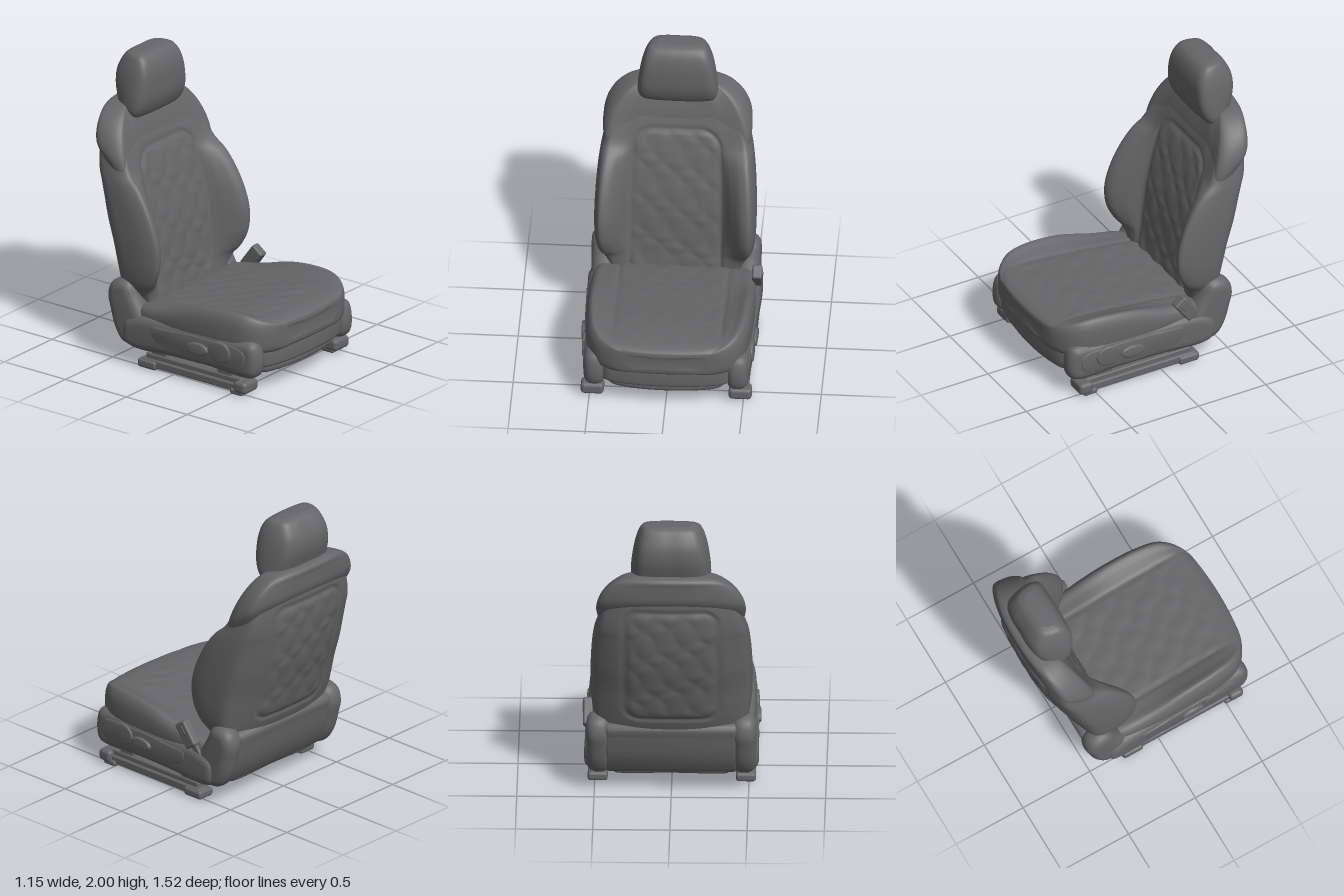
import * as THREE from 'three';
import { mergeVertices, toCreasedNormals } from 'three/addons/utils/BufferGeometryUtils.js';
import { RoundedBoxGeometry } from 'three/addons/geometries/RoundedBoxGeometry.js';

const V = (x, y, z) => new THREE.Vector3(x, y, z);

// Skin a stack of mirrored rings; each row lists the x >= 0 half of one ring.
function loft(rows, around, along, reshape) {
  const rings = rows.map((half) => {
    const other = half.slice(1, -1).reverse().map((p) => V(-p.x, p.y, p.z));
    const curve = new THREE.CatmullRomCurve3([...half, ...other], true, 'centripetal');
    return Array.from({ length: around }, (_, j) => curve.getPoint(j / around));
  });
  const pos = [], index = [];
  const columns = rings[0].map((_, j) => new THREE.CatmullRomCurve3(rings.map((r) => r[j]), false, 'centripetal'));
  for (let i = 0; i <= along; i++) {
    for (const c of columns) {
      const p = c.getPoint(i / along);
      if (reshape) reshape(p);
      pos.push(p.x, p.y, p.z);
    }
  }
  for (let i = 0; i < along; i++) {
    for (let j = 0; j < around; j++) {
      const a = i * around + j, b = i * around + (j + 1) % around;
      index.push(a, b, a + around, b, b + around, a + around);
    }
  }
  // End caps
  [0, along].forEach((row, k) => {
    const c = V(0, 0, 0);
    for (let j = 0; j < around; j++) c.add(V(...pos.slice(3 * (row * around + j), 3 * (row * around + j) + 3)));
    c.divideScalar(around);
    const id = pos.length / 3;
    pos.push(c.x, c.y, c.z);
    for (let j = 0; j < around; j++) {
      const a = row * around + j, b = row * around + (j + 1) % around;
      if (k) index.push(a, b, id); else index.push(b, a, id);
    }
  });
  // Turn the skin outward if its volume is negative
  const at = (i) => V(pos[3 * i], pos[3 * i + 1], pos[3 * i + 2]);
  let volume = 0;
  for (let i = 0; i < index.length; i += 3) volume += at(index[i]).dot(at(index[i + 1]).cross(at(index[i + 2])));
  if (volume < 0) index.reverse();
  const g = new THREE.BufferGeometry();
  g.setAttribute('position', new THREE.Float32BufferAttribute(pos, 3));
  g.setIndex(index);
  g.computeVertexNormals();
  return g;
}

// Height of a quilted panel with a stitched groove round a rounded rectangle
function quilt(x, v, halfWidth, v0, v1, radius) {
  const dx = Math.abs(x) - halfWidth + radius, dv = Math.abs(v - (v0 + v1) / 2) - (v1 - v0) / 2 + radius;
  const d = Math.hypot(Math.max(dx, 0), Math.max(dv, 0)) + Math.min(Math.max(dx, dv), 0) - radius;
  const groove = -0.012 * Math.exp(-((d / 0.014) ** 2));
  if (d > 0) return groove;
  const k = Math.PI / 0.17, warp = 0.02 * Math.sin(v * 23 + x * 9);
  const diamonds = Math.abs(Math.sin((x + warp + v * 0.8) * k)) * Math.abs(Math.sin((x - warp - v * 0.8) * k));
  return groove + 0.008 * diamonds * Math.min(1, -d / 0.05);
}

// Rounded extrusion of a smooth closed outline
function slab(points, depth, bevel) {
  const curve = new THREE.CatmullRomCurve3(points.map(([x, y]) => V(x, y, 0)), true, 'centripetal');
  const shape = new THREE.Shape(curve.getPoints(72).slice(0, -1).map((p) => new THREE.Vector2(p.x, p.y)));
  return new THREE.ExtrudeGeometry(shape, {
    depth: depth - 2 * bevel, bevelThickness: bevel, bevelSize: bevel, bevelOffset: -bevel, bevelSegments: 5,
  }).translate(0, 0, bevel);
}

function soften(g) {
  g.deleteAttribute('normal');
  g.deleteAttribute('uv');
  return toCreasedNormals(mergeVertices(g, 1e-4), 0.75);
}

// Outline given as [z, y], extruded between two x positions
const sideSlab = (points, x0, x1, bevel) => slab(points, x1 - x0, bevel).rotateY(-Math.PI / 2).translate(x1, 0, 0);
// Outline given as [x, z], extruded between two heights
const planSlab = (points, y0, y1, bevel) => slab(points, y1 - y0, bevel).rotateX(Math.PI / 2).translate(0, y1, 0);

// Horizontal backrest ring: centre front, bolster crest, side, chamfered back
function backRing([y, w, zc, zb, zk, tilt = 0], corner) {
  const mix = (a, b, t) => a + (b - a) * t;
  const zs = Math.min(zk + corner, mix(zb, zk, 0.7));
  return [
    [0, zc], [w * 0.3, zc], [w * 0.57, zc + 0.006], [w * 0.7, mix(zc, zb, 0.5)], [w * 0.83, mix(zc, zb, 0.93)], [w * 0.93, zb],
    [w * 0.985, mix(zb, zs, 0.2)], [w, mix(zb, zs, 0.6)], [w * 0.96, zs], [w * 0.77, mix(zs, zk, 0.53)],
    [w * 0.5, mix(zs, zk, 0.85)], [w * 0.25, mix(zs, zk, 0.98)], [0, zk],
  ].map(([x, z]) => V(x, y + tilt * (zc - z), z));
}

export function createModel() {
  const model = new THREE.Group();
  const upholstery = new THREE.MeshStandardMaterial({ color: 0x666668 });
  upholstery.name = 'charcoal upholstery';
  const add = (name, geometry, x = 0, y = 0, z = 0) => {
    const mesh = new THREE.Mesh(geometry, upholstery);
    mesh.name = name;
    mesh.position.set(x, y, z);
    model.add(mesh);
    return mesh;
  };

  // Backrest with side bolsters: y, half width, centre front, crest, back
  const backRows = [
    [0.2, 0.36, -0.28, -0.27, -0.42], [0.4, 0.43, -0.29, -0.27, -0.47], [0.49, 0.475, -0.3, -0.25, -0.515],
    [0.55, 0.503, -0.305, -0.205, -0.54], [0.66, 0.52, -0.315, -0.155, -0.58], [0.8, 0.525, -0.33, -0.145, -0.62],
    [0.95, 0.521, -0.355, -0.183, -0.667], [1.1, 0.511, -0.39, -0.257, -0.702], [1.2, 0.498, -0.415, -0.33, -0.72],
    [1.27, 0.483, -0.437, -0.405, -0.73], [1.4, 0.445, -0.48, -0.47, -0.74], [1.52, 0.38, -0.53, -0.525, -0.735],
    [1.58, 0.2, -0.58, -0.57, -0.7],
  ];
  add('backrest', loft(backRows.map((r) => backRing(r, 0.14)), 156, 100, (p) => {
    const middle = -0.33 - 0.14 * p.y;
    if (p.z > middle) p.z += quilt(p.x, p.y, 0.295 - 0.05 * Math.max(0, p.y - 1), 0.3, 1.37, 0.12);
    else p.z -= quilt(p.x, p.y, 0.3, 0.58, 1.42, 0.09);
  }));

  // Lower back panel between the recliners
  const lowerBack = [
    [-0.3, 0.14], [-0.4, 0.14], [-0.445, 0.2], [-0.485, 0.3], [-0.51, 0.42], [-0.52, 0.49], [-0.49, 0.52], [-0.4, 0.5], [-0.3, 0.4],
  ];
  add('lowerBackPanel', soften(sideSlab(lowerBack, -0.43, 0.43, 0.03)));

  // Shoulder roll wrapping the top of the backrest
  const shoulderRows = [
    [1.22, 0.45, -0.47, -0.44, -0.66, 0.8], [1.27, 0.475, -0.47, -0.425, -0.735, 0.75], [1.34, 0.484, -0.476, -0.44, -0.755, 0.62],
    [1.44, 0.461, -0.495, -0.475, -0.76, 0.48], [1.53, 0.415, -0.52, -0.512, -0.762, 0.35], [1.605, 0.35, -0.55, -0.55, -0.765, 0.2],
    [1.65, 0.28, -0.585, -0.585, -0.75, 0.1], [1.672, 0.19, -0.62, -0.62, -0.72, 0.03],
  ];
  add('shoulderRoll', loft(shoulderRows.map((r) => backRing(r, 0.2)), 96, 40));

  // Headrest: y, half width, front, back
  const headRows = [
    [1.565, 0.19, -0.53, -0.63], [1.575, 0.232, -0.505, -0.66], [1.62, 0.254, -0.478, -0.69], [1.69, 0.255, -0.456, -0.715],
    [1.78, 0.245, -0.45, -0.738], [1.87, 0.228, -0.455, -0.735], [1.94, 0.205, -0.475, -0.705], [1.98, 0.18, -0.505, -0.675],
    [1.998, 0.13, -0.545, -0.64],
  ];
  add('headrest', loft(headRows.map(([y, w, f, b]) => [
    [0, f], [w * 0.5, f - 0.003], [w * 0.88, f - 0.015], [w, f + (b - f) * 0.22], [w * 0.98, f + (b - f) * 0.6],
    [w * 0.82, b + (f - b) * 0.1], [w * 0.45, b], [0, b],
  ].map(([x, z]) => V(x, y, z))), 72, 40));
  for (const s of [-1, 1]) add('headrestPost', new THREE.CylinderGeometry(0.015, 0.015, 0.2, 12), s * 0.12, 1.62, -0.61);

  // Seat cushion with a bowed front: z, half width, centre top, bolster top, bottom
  const seatRows = [
    [0.758, 0.27, 0.44, 0.44, 0.34], [0.75, 0.36, 0.468, 0.468, 0.305], [0.705, 0.45, 0.49, 0.497, 0.28],
    [0.62, 0.505, 0.5, 0.53, 0.28], [0.46, 0.532, 0.5, 0.545, 0.28], [0.2, 0.545, 0.475, 0.522, 0.28],
    [-0.05, 0.54, 0.445, 0.455, 0.28], [-0.28, 0.51, 0.41, 0.41, 0.28], [-0.36, 0.45, 0.38, 0.38, 0.28],
  ];
  add('seatCushion', loft(seatRows.map(([z, w, c, b, bottom]) => [
    [0, c], [w * 0.35, c], [w * 0.65, c + 0.002], [w * 0.8, c + (b - c) * 0.5], [w * 0.92, b], [w * 0.98, b - (b - bottom) * 0.16],
    [w, b - (b - bottom) * 0.5], [w * 0.97, bottom + 0.03], [w * 0.85, bottom], [w * 0.4, bottom], [0, bottom],
  ].map(([x, y]) => V(x, y, z))), 140, 80, (p) => {
    if (p.y > 0.38) p.y += 0.7 * Math.min(1, Math.max(0, (0.74 - p.z) * 4)) * quilt(p.x, p.z, 0.355, -0.6, 0.9, 0.06);
    p.z -= 0.25 * p.x * p.x * Math.max(0, p.z - 0.4) / 0.36;
  }));

  // Front apron, lower lip and under tray
  const plan = (w, front, back) => [
    [0, front], [w * 0.6, front - 0.018], [w * 0.93, front - 0.06], [w, front - 0.13], [w, 0], [w, back + 0.03], [w * 0.95, back],
    [0, back], [-w * 0.95, back], [-w, back + 0.03], [-w, 0], [-w, front - 0.13], [-w * 0.93, front - 0.06], [-w * 0.6, front - 0.018],
  ];
  add('frontApron', soften(planSlab(plan(0.43, 0.73, -0.36), 0.175, 0.31, 0.025)));
  add('lowerLip', soften(planSlab(plan(0.385, 0.7, -0.4), 0.12, 0.2, 0.03)));
  add('underTray', soften(planSlab(plan(0.34, 0.64, -0.36), 0.114, 0.14, 0.008)));
  for (const [x, z] of [[0, 0.02], [0.05, -0.05]]) add('trayBoss', new THREE.CylinderGeometry(0.022, 0.022, 0.02, 16), x, 0.116, z);

  // Side valances and recliner covers
  const valance = [
    [0.675, 0.16], [0.685, 0.28], [0.65, 0.365], [0.5, 0.372], [0.3, 0.385], [0.05, 0.37], [-0.25, 0.36],
    [-0.38, 0.3], [-0.38, 0.16], [-0.3, 0.122], [0, 0.13], [0.3, 0.13], [0.63, 0.122],
  ];
  const recliner = [
    [-0.22, 0.33], [-0.3, 0.46], [-0.35, 0.55], [-0.42, 0.57], [-0.5, 0.535], [-0.53, 0.45], [-0.51, 0.35],
    [-0.47, 0.22], [-0.41, 0.14], [-0.32, 0.122], [-0.2, 0.15], [-0.17, 0.25],
  ];
  const dish = [[0.6, 0.3], [0.3, 0.335], [0, 0.325], [-0.14, 0.31], [-0.12, 0.24], [0.05, 0.18], [0.35, 0.17], [0.58, 0.19]];
  // Pairs of slabs that narrow slightly towards the front
  const both = (name, points, x0, x1, bevel) => {
    for (const s of [1, -1]) {
      const g = sideSlab(points, s > 0 ? x0 : -x1, s > 0 ? x1 : -x0, bevel);
      const p = g.attributes.position;
      for (let i = 0; i < p.count; i++) p.setX(i, p.getX(i) * (1 - 0.06 * p.getZ(i)));
      add(name, soften(g));
    }
  };
  both('sideValance', valance, 0.41, 0.555, 0.06);
  both('valancePanel', dish, 0.5, 0.56, 0.008);
  both('reclinerCover', recliner, 0.385, 0.536, 0.065);

  // Adjuster controls on the valances
  const oval = (cz, cy, rz, ry) => Array.from({ length: 12 }, (_, i) =>
    [cz + rz * Math.cos(i * Math.PI / 6), cy + ry * Math.sin(i * Math.PI / 6)]);
  both('backrestControl', oval(0.41, 0.27, 0.09, 0.072), 0.52, 0.572, 0.012);
  both('cushionControl', oval(0.24, 0.255, 0.085, 0.042), 0.52, 0.58, 0.012);

  // Floor rails with end blocks and mounting feet
  for (const s of [-1, 1]) {
    add('floorRail', new RoundedBoxGeometry(0.1, 0.055, 0.84, 3, 0.012), s * 0.48, 0.045, 0.17);
    add('slidingRail', new RoundedBoxGeometry(0.065, 0.055, 0.78, 3, 0.012), s * 0.48, 0.08, 0.17);
    add('frontFoot', new RoundedBoxGeometry(0.15, 0.08, 0.1, 4, 0.025), s * 0.48, 0.06, 0.575);
    add('frontFootPad', new RoundedBoxGeometry(0.13, 0.04, 0.1, 4, 0.015), s * 0.48, 0.021, 0.54);
    add('rearFoot', new RoundedBoxGeometry(0.13, 0.06, 0.15, 4, 0.02), s * 0.48, 0.035, -0.195);
    for (const z of [0.42, -0.12]) add('railBracket', new RoundedBoxGeometry(0.07, 0.07, 0.12, 2, 0.01), s * 0.47, 0.125, z);
  }

  // Belt buckle on the left side
  const buckle = new THREE.Group();
  buckle.name = 'beltBuckle';
  buckle.add(
    add('buckleHead', new RoundedBoxGeometry(0.065, 0.18, 0.095, 4, 0.014)),
    add('buckleButton', new RoundedBoxGeometry(0.008, 0.06, 0.035, 2, 0.003), 0.033, 0.035),
    add('buckleStalk', new RoundedBoxGeometry(0.025, 0.16, 0.05, 3, 0.01), -0.01, -0.13),
  );
  buckle.position.set(0.543, 0.45, -0.16);
  buckle.rotation.x = 0.64;
  model.add(buckle);

  return model;
}
